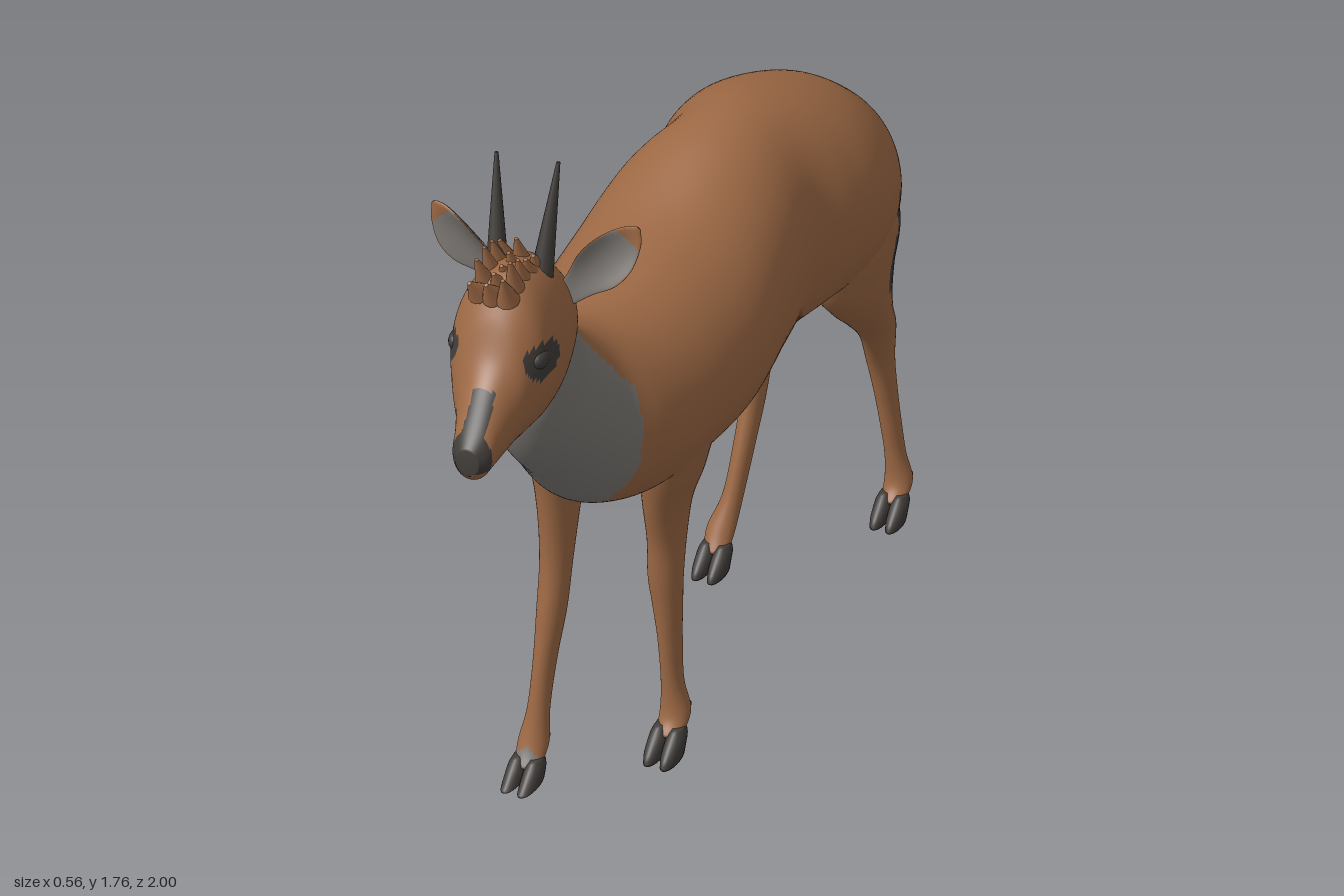
import * as THREE from 'three';

const flat = (name, color) => Object.assign(new THREE.MeshStandardMaterial({ color }), { name });

// Smooth skin through cross-sections [x, halfWidth, lowZ, lowY, highZ, highY].
// paint(x, y, z) picks a material index for each face.
function loft(rows, segs, steps, paint = () => 0) {
  const curve = (f) => new THREE.CatmullRomCurve3(rows.map((r) => new THREE.Vector3(...f(r))), false, 'catmullrom', 0.5);
  const low = curve((r) => [r[0], r[3], r[2]]);
  const high = curve((r) => [r[0], r[5], r[4]]);
  const wide = curve((r) => [r[1], 0, 0]);
  const n = (rows.length - 1) * steps;
  const pos = [];
  for (let i = 0; i <= n; i++) {
    const a = low.getPoint(i / n), b = high.getPoint(i / n), w = wide.getPoint(i / n).x;
    const c = a.clone().add(b).multiplyScalar(0.5), h = b.clone().sub(a).multiplyScalar(0.5);
    for (let j = 0; j < segs; j++) {
      const t = (j / segs) * Math.PI * 2, s = Math.sin(t);
      pos.push(c.x + w * Math.cos(t), c.y + h.y * s, c.z + h.z * s);
    }
    if (i === 0 || i === n) c.toArray(pos, pos.length);
    if (i === 0) pos.push(...pos.splice(0, 0));
  }
  // the first ring is followed by its pole, the last ring by the other one
  const id = (i, j) => i * segs + (j % segs) + (i > 0 ? 1 : 0);
  const faces = [[], [], []];
  const add = (...v) => {
    const m = [0, 1, 2].map((k) => v.reduce((sum, p) => sum + pos[p * 3 + k], 0) / v.length);
    const list = faces[paint(...m)];
    list.push(v[0], v[1], v[2]);
    if (v.length === 4) list.push(v[0], v[2], v[3]);
  };
  for (let j = 0; j < segs; j++) {
    add(segs, id(0, j + 1), id(0, j));
    for (let i = 0; i < n; i++) add(id(i, j), id(i, j + 1), id(i + 1, j + 1), id(i + 1, j));
    add((n + 1) * segs + 1, id(n, j), id(n, j + 1));
  }
  const g = new THREE.BufferGeometry();
  g.setAttribute('position', new THREE.Float32BufferAttribute(pos, 3));
  g.setIndex(faces.flat());
  let start = 0;
  faces.forEach((f, k) => {
    if (f.length) g.addGroup(start, f.length, k);
    start += f.length;
  });
  g.computeVertexNormals();
  return g;
}

export function createModel() {
  const model = new THREE.Group();
  const coat = flat('brown coat', 0x9c6844);
  const grey = flat('pale grey hair', 0x7d7975);
  const dark = flat('dark grey hair and horn', 0x403c39);
  const mats = [coat, grey, dark];
  const put = (name, geo, mat = mats, parent = model) => {
    const m = new THREE.Mesh(geo, mat);
    m.name = name;
    parent.add(m);
    return m;
  };

  // Markings shared by body and thighs: grey throat, dark rump
  const hide = (x, y, z) => {
    if (z > 0.42 && y < 1.13 + 1.44 * (z - 0.42)) return 1;
    const top = z > -0.85 ? 1.065 + 0.25 * (-0.715 - z) : 1.205;
    const front = -0.695 - 0.12 * Math.max(0, 0.93 - y);
    return z < front && y > 0.77 && y < top ? 2 : 0;
  };

  // Body and neck, rump to throat
  put('bodyAndNeck', loft([
    [0.015, 0.05, -0.925, 0.95, -0.93, 1.1],
    [0.015, 0.12, -0.895, 0.88, -0.915, 1.17],
    [0.015, 0.175, -0.85, 0.83, -0.875, 1.21],
    [0.01, 0.225, -0.77, 0.79, -0.8, 1.265],
    [0.01, 0.258, -0.66, 0.785, -0.7, 1.325],
    [0.005, 0.275, -0.54, 0.8, -0.58, 1.37],
    [0, 0.255, -0.45, 0.795, -0.46, 1.4],
    [-0.005, 0.22, -0.36, 0.78, -0.34, 1.41],
    [-0.02, 0.245, -0.2, 0.765, -0.2, 1.385],
    [-0.022, 0.26, 0, 0.75, 0, 1.31],
    [-0.03, 0.25, 0.15, 0.745, 0.15, 1.275],
    [-0.045, 0.235, 0.28, 0.745, 0.28, 1.25],
    [-0.045, 0.205, 0.38, 0.78, 0.36, 1.245],
    [-0.035, 0.155, 0.465, 0.84, 0.42, 1.26],
    [-0.025, 0.128, 0.56, 0.94, 0.47, 1.285],
    [-0.02, 0.108, 0.67, 1.06, 0.52, 1.33],
    [-0.015, 0.095, 0.72, 1.16, 0.56, 1.39],
    [-0.01, 0.085, 0.73, 1.24, 0.6, 1.44],
  ], 96, 9, hide));

  // Tail lying against the rump
  put('tail', loft([
    [0.015, 0.02, -0.895, 1.2, -0.87, 1.21],
    [0.015, 0.035, -0.94, 1.13, -0.9, 1.13],
    [0.015, 0.035, -0.945, 1.03, -0.91, 1.03],
    [0.015, 0.015, -0.935, 0.93, -0.91, 0.93],
  ].map(([x, w, a, b, c, d]) => [x, w, a, b, c, d]), 16, 6), dark);

  // Head, with eye patches, nose stripe and pale lip
  put('head', loft([
    [-0.01, 0.05, 0.575, 1.38, 0.58, 1.45],
    [-0.01, 0.085, 0.62, 1.28, 0.6, 1.5],
    [-0.01, 0.103, 0.68, 1.215, 0.655, 1.55],
    [-0.008, 0.11, 0.75, 1.2, 0.73, 1.57],
    [-0.005, 0.105, 0.82, 1.205, 0.79, 1.56],
    [0, 0.085, 0.87, 1.205, 0.835, 1.5],
    [0.008, 0.065, 0.91, 1.205, 0.875, 1.42],
    [0.014, 0.05, 0.95, 1.205, 0.925, 1.36],
    [0.018, 0.042, 0.98, 1.21, 0.965, 1.315],
    [0.02, 0.025, 1.0, 1.23, 0.995, 1.285],
  ], 80, 9, (x, y, z) => {
    if (Math.hypot((z - 0.8) / 0.052, (y - 1.405) / 0.04) < 1) return 2;
    if (z > 0.968 && y > 1.235) return 2;
    if (Math.abs(x - 0.018) < 0.024 && z > 0.86 && y > 1.25 && y < 1.375) return 2;
    return z > 0.87 && z < 0.97 && y < 1.222 ? 1 : 0;
  }));
  for (const side of [-1, 1]) {
    const eye = put(side > 0 ? 'leftEye' : 'rightEye', new THREE.SphereGeometry(0.026, 20, 14), dark);
    eye.position.set(side * 0.09 - 0.004, 1.408, 0.803);
    eye.scale.set(0.7, 0.85, 1.1);
  }

  // Tapered spike between two points
  const up = new THREE.Vector3(0, 1, 0);
  const spike = (name, a, b, r, mat, parent) => {
    const p = new THREE.Vector3(...a), d = new THREE.Vector3(...b).sub(p);
    const m = put(name, new THREE.CylinderGeometry(0.004, r, d.length(), 14), mat, parent);
    m.position.copy(p).addScaledVector(d, 0.5);
    m.quaternion.setFromUnitVectors(up, d.normalize());
  };
  spike('rightHorn', [-0.052, 1.52, 0.71], [-0.075, 1.76, 0.655], 0.024, dark);
  spike('leftHorn', [0.034, 1.52, 0.685], [0.05, 1.755, 0.634], 0.024, dark);

  // Ragged forelock between the horns
  const tuft = new THREE.Group();
  tuft.name = 'forelock';
  model.add(tuft);
  for (let i = 0; i < 15; i++) {
    const x = -0.008 + ((i % 3) - 1) * 0.032, z = 0.69 + Math.floor(i / 3) * 0.033;
    const h = 1.595 + 0.018 * Math.sin(i * 2.4) - (z > 0.8 ? 0.02 : 0);
    spike('hairLock', [x, 1.53, z - 0.01], [x * 1.15, h, z + 0.018], 0.024, coat, tuft);
  }

  // Cupped leaf-shaped ears: pale inside with a brown rim, dark-tipped back
  const earHalf = [[-0.02, 0.022], [0.03, 0.034], [0.08, 0.05], [0.13, 0.049], [0.175, 0.03], [0.2, 0.006]];
  const ear = (name, base, tip) => {
    const g = loft(earHalf.map(([z, w], i) => [0, i === 5 ? 0.003 : 0.008, z, -w, z, w]), 40, 6,
      (x, y, z) => (x > 0.0025 && z < 0.17 ? 1 : x < -0.001 ? (z > 0.08 ? 2 : 1) : 0));
    const p = g.attributes.position;
    for (let i = 0; i < p.count; i++) p.setX(i, p.getX(i) + 9 * p.getY(i) ** 2);
    g.computeVertexNormals();
    const b = new THREE.Vector3(...base);
    const along = new THREE.Vector3(...tip).sub(b).normalize();
    const face = new THREE.Vector3(Math.sign(base[0]) * 0.25, 0, 1);
    face.addScaledVector(along, -face.dot(along)).normalize();
    const m = put(name, g);
    m.quaternion.setFromRotationMatrix(new THREE.Matrix4().makeBasis(face, along.clone().cross(face), along));
    m.position.copy(b);
  };
  ear('rightEar', [-0.085, 1.47, 0.635], [-0.215, 1.61, 0.655]);
  ear('leftEar', [0.07, 1.465, 0.63], [0.2, 1.615, 0.575]);

  // Legs from top to fetlock: rows of [x, z, y, halfWidth, halfDepth]
  const leg = (name, rows, ground = 0.005) => {
    const group = new THREE.Group();
    group.name = name;
    model.add(group);
    const [fx, fz] = rows[rows.length - 1];
    const all = [...rows, [fx, fz + 0.03, 0.055, 0.032, 0.03]];
    put('limb', loft(all.map(([x, z, y, w, d]) => [x, w, z - d, y, z + d, y]), 40, 7, hide), mats, group);
    // cloven hoof and dewclaws
    for (const s of [-1, 1]) {
      const toe = [[0.075, 0.012, 0.005, 0.05], [0.055, 0.021, 0, 0.075], [0.025, 0.022, 0.008, 0.108], [ground, 0.02, 0.01, 0.118]];
      put('hoof', loft(toe.map(([y, w, a, b]) => [fx + s * 0.021, w, fz + a, y, fz + b, y]), 20, 4), dark, group);
      const claw = put('dewclaw', new THREE.SphereGeometry(0.011, 10, 8), dark, group);
      claw.position.set(fx + s * 0.017, 0.1, fz - 0.026);
    }
  };
  leg('leftFrontLeg', [
    [0.1, 0.22, 1.08, 0.05, 0.06], [0.11, 0.2, 0.95, 0.08, 0.11], [0.088, 0.175, 0.8, 0.07, 0.1],
    [0.07, 0.165, 0.69, 0.052, 0.077], [0.063, 0.155, 0.58, 0.043, 0.055], [0.06, 0.155, 0.475, 0.04, 0.044],
    [0.062, 0.15, 0.4, 0.034, 0.041], [0.067, 0.147, 0.3, 0.027, 0.036], [0.072, 0.145, 0.18, 0.026, 0.03],
    [0.08, 0.145, 0.1, 0.036, 0.034],
  ]);
  leg('rightFrontLeg', [
    [-0.2, 0.27, 1.08, 0.05, 0.06], [-0.19, 0.27, 0.95, 0.08, 0.11], [-0.152, 0.26, 0.8, 0.06, 0.09],
    [-0.147, 0.267, 0.69, 0.046, 0.068], [-0.146, 0.287, 0.55, 0.037, 0.045], [-0.148, 0.312, 0.42, 0.033, 0.042],
    [-0.153, 0.34, 0.3, 0.026, 0.035], [-0.158, 0.368, 0.18, 0.026, 0.028], [-0.163, 0.385, 0.1, 0.036, 0.034],
  ], 0.02);
  leg('leftHindLeg', [
    [0.15, -0.62, 1.15, 0.06, 0.08], [0.16, -0.65, 1.0, 0.105, 0.17], [0.165, -0.67, 0.85, 0.085, 0.155],
    [0.165, -0.715, 0.76, 0.07, 0.12], [0.16, -0.79, 0.67, 0.055, 0.085], [0.153, -0.872, 0.58, 0.042, 0.068],
    [0.148, -0.915, 0.47, 0.034, 0.046], [0.157, -0.938, 0.36, 0.028, 0.037], [0.17, -0.952, 0.25, 0.026, 0.032],
    [0.18, -0.96, 0.17, 0.027, 0.03], [0.19, -0.963, 0.1, 0.036, 0.034],
  ]);
  leg('rightHindLeg', [
    [-0.13, -0.6, 1.15, 0.06, 0.08], [-0.145, -0.62, 1.0, 0.105, 0.16], [-0.14, -0.625, 0.85, 0.082, 0.145],
    [-0.125, -0.635, 0.75, 0.063, 0.105], [-0.11, -0.68, 0.64, 0.048, 0.073], [-0.1, -0.722, 0.55, 0.037, 0.056],
    [-0.095, -0.695, 0.43, 0.03, 0.043], [-0.1, -0.65, 0.3, 0.026, 0.036], [-0.11, -0.61, 0.18, 0.026, 0.032],
    [-0.125, -0.575, 0.1, 0.036, 0.034],
  ]);

  return model;
}
